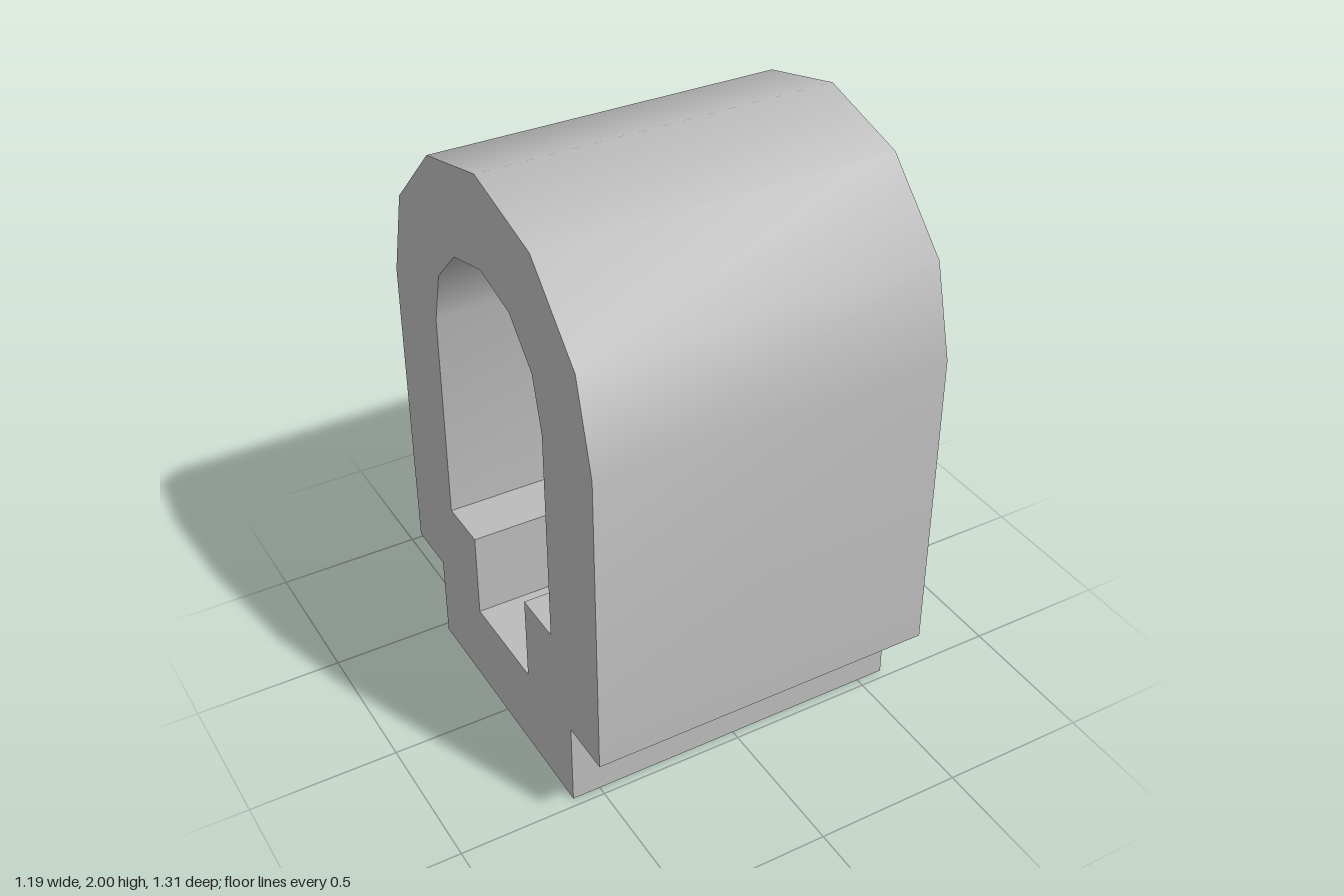
import * as THREE from 'three';
import { toCreasedNormals } from 'three/addons/utils/BufferGeometryUtils.js';

// Mirror a half profile (bottom to apex) into a closed symmetric outline.
function mirrored(half) {
  const other = half.filter(([z]) => z > 0).reverse().map(([z, y]) => [-z, y]);
  return [...half, ...other].map(([z, y]) => new THREE.Vector2(z, y));
}

export function createModel() {
  const group = new THREE.Group();
  group.name = 'archedClamp';

  const grey = new THREE.MeshStandardMaterial({ color: 0xbbbbbb });
  grey.name = 'grey';

  // Outer outline: narrow foot, straight walls, faceted arch
  const outline = new THREE.Shape(mirrored([
    [0.47, 0], [0.47, 0.3], [0.655, 0.3], [0.655, 1.37],
    [0.575, 1.67], [0.33, 1.914], [0, 2],
  ]));

  // Through opening: narrow slot at the bottom, arched top
  outline.holes.push(new THREE.Path(mirrored([
    [0.178, 0.297], [0.178, 0.6], [0.357, 0.6], [0.357, 1.34],
    [0.31, 1.52], [0.18, 1.65], [0, 1.697],
  ])));

  // Extrude across the width and turn the profile to face sideways
  const width = 1.19;
  const geometry = new THREE.ExtrudeGeometry(outline, { depth: width, bevelEnabled: false });
  geometry.translate(0, 0, -width / 2);
  geometry.rotateY(Math.PI / 2);

  const body = new THREE.Mesh(toCreasedNormals(geometry, 0.7), grey);
  body.name = 'clampBody';
  group.add(body);
  return group;
}
